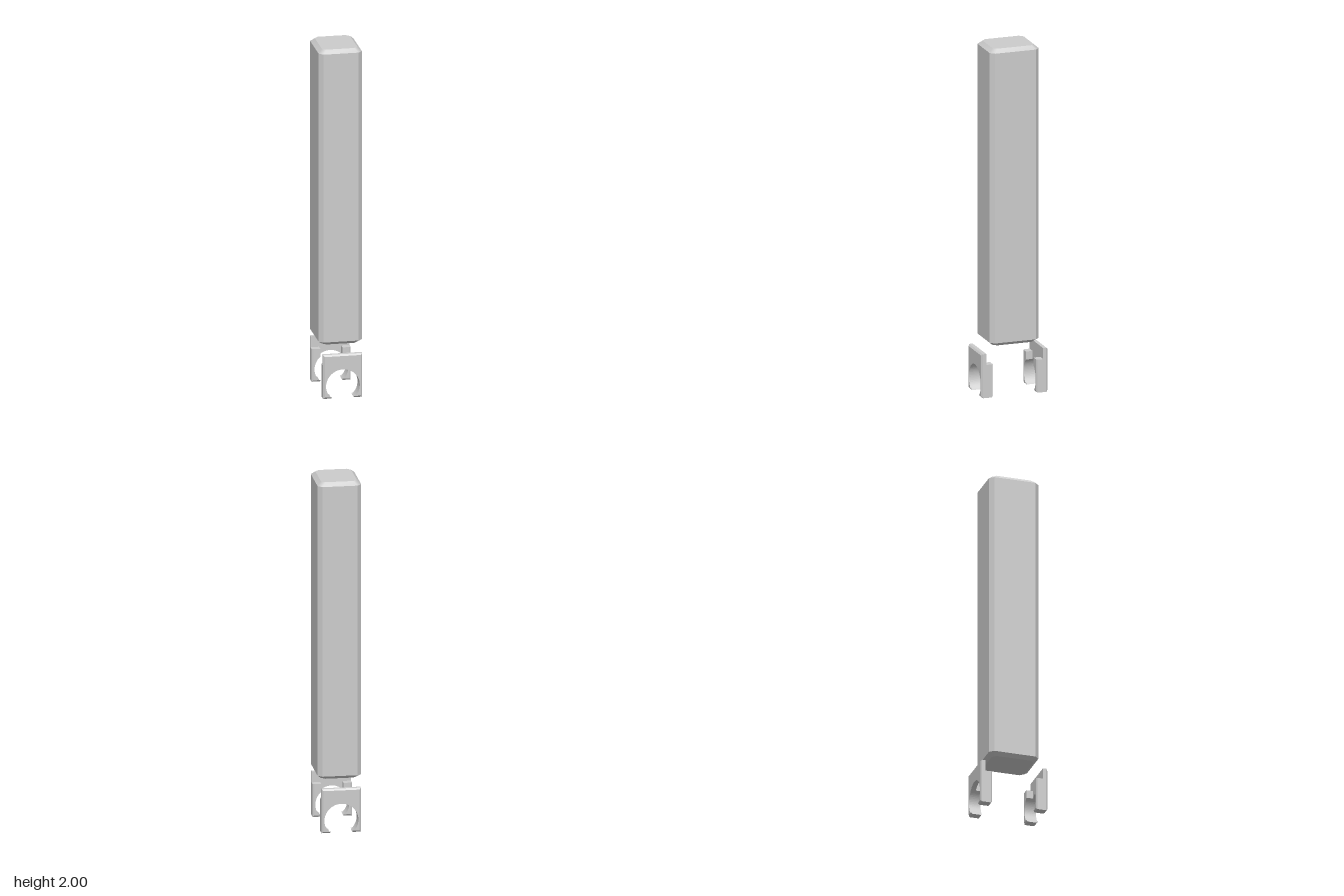
import * as THREE from 'three';

const grey = new THREE.MeshStandardMaterial({ color: 0xcccccc });
grey.name = 'plain grey';

// Rectangle with cut corners, counter-clockwise seen from above
function ring(y, hx, hz, cut) {
  return [
    [hx, hz - cut], [hx, -hz + cut], [hx - cut, -hz], [-hx + cut, -hz],
    [-hx, -hz + cut], [-hx, hz - cut], [-hx + cut, hz], [hx - cut, hz],
  ].map(([x, z]) => new THREE.Vector3(x, y, z));
}

// Band of quads between two rings, either flat or smoothed around
function band(low, high, smooth) {
  const n = low.length;
  let g = new THREE.BufferGeometry().setFromPoints([...low, ...high]);
  const index = [];
  for (let i = 0; i < n; i++) {
    const j = (i + 1) % n;
    index.push(i, j, n + j, i, n + j, n + i);
  }
  g.setIndex(index);
  if (!smooth) g = g.toNonIndexed();
  g.computeVertexNormals();
  return g;
}

function cap(points, up) {
  const g = new THREE.BufferGeometry().setFromPoints(points);
  const index = [];
  for (let i = 1; i < points.length - 1; i++) {
    index.push(0, up ? i : i + 1, up ? i + 1 : i);
  }
  g.setIndex(index);
  g.computeVertexNormals();
  return g;
}

function addMesh(parent, geometry, name) {
  const mesh = new THREE.Mesh(geometry, grey);
  mesh.name = name;
  parent.add(mesh);
}

// Tall bar with chamfered edges at every side
function makeBar() {
  const bar = new THREE.Group();
  bar.name = 'bar';
  const rings = [
    ring(0.293, 0.1, 0.121, 0.022), ring(0.312, 0.122, 0.144, 0.024),
    ring(1.979, 0.122, 0.144, 0.024), ring(2, 0.1, 0.121, 0.022),
  ];
  addMesh(bar, band(rings[0], rings[1], true), 'barBottomChamfer');
  addMesh(bar, band(rings[1], rings[2], false), 'barSides');
  addMesh(bar, band(rings[2], rings[3], true), 'barTopChamfer');
  addMesh(bar, cap(rings[3], true), 'barTop');
  addMesh(bar, cap(rings[0], false), 'barBottom');
  return bar;
}

// Open-bottomed clip: thin outer plate with two thicker inner jaws
const W = 0.11, H = 0.253, R = 0.095, CY = 0.072;

function makeClip(name) {
  const clip = new THREE.Group();
  clip.name = name;
  const a = Math.asin(CY / R); // where the round opening meets the base
  const mouth = R * Math.cos(a);

  const outline = new THREE.Shape();
  outline.moveTo(mouth, 0);
  outline.lineTo(W, 0);
  outline.lineTo(W, H);
  outline.lineTo(-W, H);
  outline.lineTo(-W, 0);
  outline.lineTo(-mouth, 0);
  outline.absarc(0, CY, R, Math.PI + a, -a, true);
  addMesh(clip, chamferedExtrude(outline, 0.167, 0.187, 0.195), 'clipPlate');

  const inner = 0.062, jawTop = 0.19;
  const b = Math.acos(inner / R);
  for (const s of [1, -1]) {
    const jaw = new THREE.Shape();
    jaw.moveTo(s * mouth, 0);
    jaw.lineTo(s * W, 0);
    jaw.lineTo(s * W, jawTop);
    jaw.lineTo(s * inner, jawTop);
    if (s > 0) jaw.absarc(0, CY, R, b, -a, true);
    else jaw.absarc(0, CY, R, Math.PI - b, Math.PI + a, false);
    // the jaw's free end carries the same small chamfer
    const g = chamferedExtrude(jaw, 0, 0.033, 0.039);
    g.rotateY(Math.PI);
    g.translate(0, 0, 0.167);
    addMesh(clip, g, s > 0 ? 'clipJawRight' : 'clipJawLeft');
  }
  return clip;
}

// Extrusion whose far face is drawn in along the outer sides
function chamferedExtrude(shape, z0, z1, z2) {
  const g = new THREE.ExtrudeGeometry(shape, { depth: 2, steps: 2, bevelEnabled: false, curveSegments: 24 });
  const p = g.attributes.position, c = 0.009;
  for (let i = 0; i < p.count; i++) {
    const layer = Math.round(p.getZ(i));
    if (layer === 2) {
      p.setX(i, THREE.MathUtils.clamp(p.getX(i), -W + c, W - c));
      p.setY(i, THREE.MathUtils.clamp(p.getY(i), c, H - c));
    }
    p.setZ(i, [z0, z1, z2][layer]);
  }
  g.computeVertexNormals();
  return g;
}

export function createModel() {
  const model = new THREE.Group();
  model.name = 'barWithClips';
  const front = makeClip('frontClip');
  const back = makeClip('backClip');
  back.rotation.y = Math.PI;
  model.add(makeBar(), front, back);
  return model;
}
